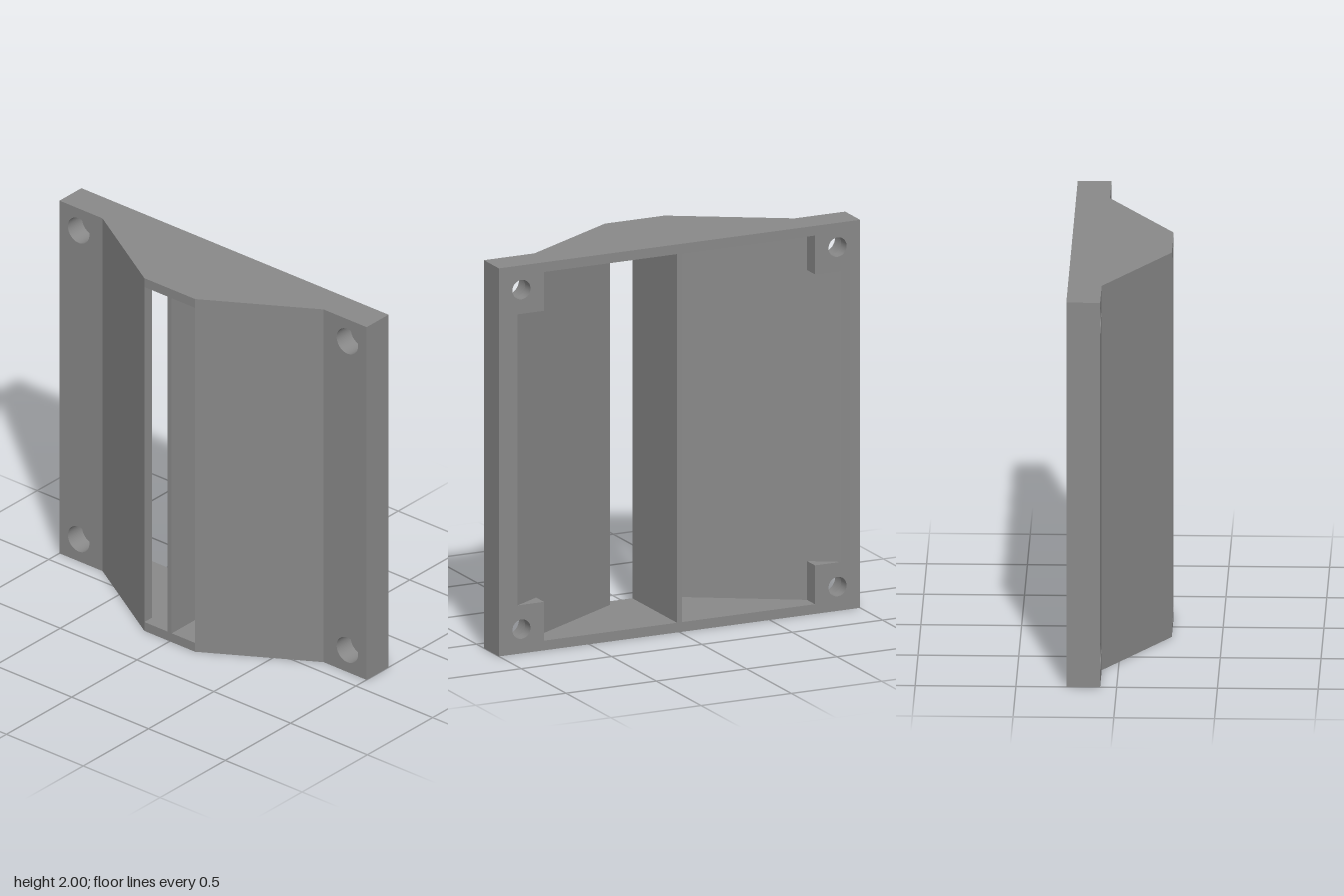
import * as THREE from 'three';

const BACK = -0.25, FLANGE = -0.082, FRONT = 0.25;
const CAP = 0.05;            // thickness of top and bottom walls
const POST = 0.25;           // size of the square corner posts
const STEP = -0.19;          // floor of the counterbores
const SLOT = 0.165;          // half width of the front slot
const INNER_Z = 0.192;       // inside of the sloped wall at the slot
const RIM_X = 0.897;         // inside edge of the side rim
const INNER_POST_Z = BACK + (RIM_X - (1 - POST)) * (INNER_Z - BACK) / (RIM_X - SLOT);

const material = new THREE.MeshStandardMaterial({ color: 0x888888, flatShading: true });

// Extrudes an x/z cross-section upwards from y0 to y1
function prism(name, points, y0, y1) {
  const shape = new THREE.Shape(points.map(([x, z]) => new THREE.Vector2(x, -z)));
  const geometry = new THREE.ExtrudeGeometry(shape, { depth: y1 - y0, bevelEnabled: false });
  geometry.rotateX(-Math.PI / 2).translate(0, y0, 0);
  const mesh = new THREE.Mesh(geometry, material);
  mesh.name = name;
  return mesh;
}

// Square plate with a round hole, from z0 to z1
function drilledPlate(radius, z0, z1) {
  const h = POST / 2;
  const shape = new THREE.Shape([[-h, -h], [h, -h], [h, h], [-h, h]].map(p => new THREE.Vector2(...p)));
  shape.holes.push(new THREE.Path().absarc(0, 0, radius, 0, Math.PI * 2, true));
  const geometry = new THREE.ExtrudeGeometry(shape, { depth: z1 - z0, bevelEnabled: false, curveSegments: 32 });
  const mesh = new THREE.Mesh(geometry.translate(0, 0, z0), material);
  mesh.name = 'drilledPlate';
  return mesh;
}

export function createModel() {
  const model = new THREE.Group();
  model.name = 'slottedCover';
  const px = 1 - POST;

  // Top and bottom walls, stopping at the corner posts
  const half = [[px, BACK], [px, FLANGE], [0.72, FLANGE], [SLOT, FRONT]];
  const outline = [...half, ...half.map(([x, z]) => [-x, z]).reverse()];
  model.add(prism('bottomWall', outline, 0, CAP), prism('topWall', outline, 2 - CAP, 2));

  for (const s of [1, -1]) {
    const side = s > 0 ? 'left' : 'right';
    const mirror = points => points.map(([x, z]) => [s * x, z]);

    // Sloped wall with side rim, full width between the posts
    const full = mirror([[1, BACK], [1, FLANGE], [0.72, FLANGE], [SLOT, FRONT], [SLOT, INNER_Z], [RIM_X, BACK]]);
    model.add(prism(side + 'SlopedWall', full, POST, 2 - POST));

    // Sloped wall beside the posts
    const short = mirror([[px, FLANGE], [0.72, FLANGE], [SLOT, FRONT], [SLOT, INNER_Z], [px, INNER_POST_Z]]);
    model.add(prism(side + 'SlopedWallLowerEnd', short, CAP, POST));
    model.add(prism(side + 'SlopedWallUpperEnd', short, 2 - POST, 2 - CAP));

    // Corner posts with counterbored screw holes
    for (const y of [POST / 2, 2 - POST / 2]) {
      const post = new THREE.Group();
      post.name = side + (y < 1 ? 'Lower' : 'Upper') + 'ScrewPost';
      post.add(drilledPlate(0.05, BACK, STEP), drilledPlate(0.07, STEP, FLANGE));
      post.position.set(s * (1 - POST / 2), y, 0);
      model.add(post);
    }
  }

  // Thin divider down the middle of the slot
  const divider = new THREE.Mesh(new THREE.BoxGeometry(0.027, 2 - 2 * CAP, FRONT - BACK), material);
  divider.name = 'centreDivider';
  divider.position.y = 1;
  model.add(divider);

  return model;
}
